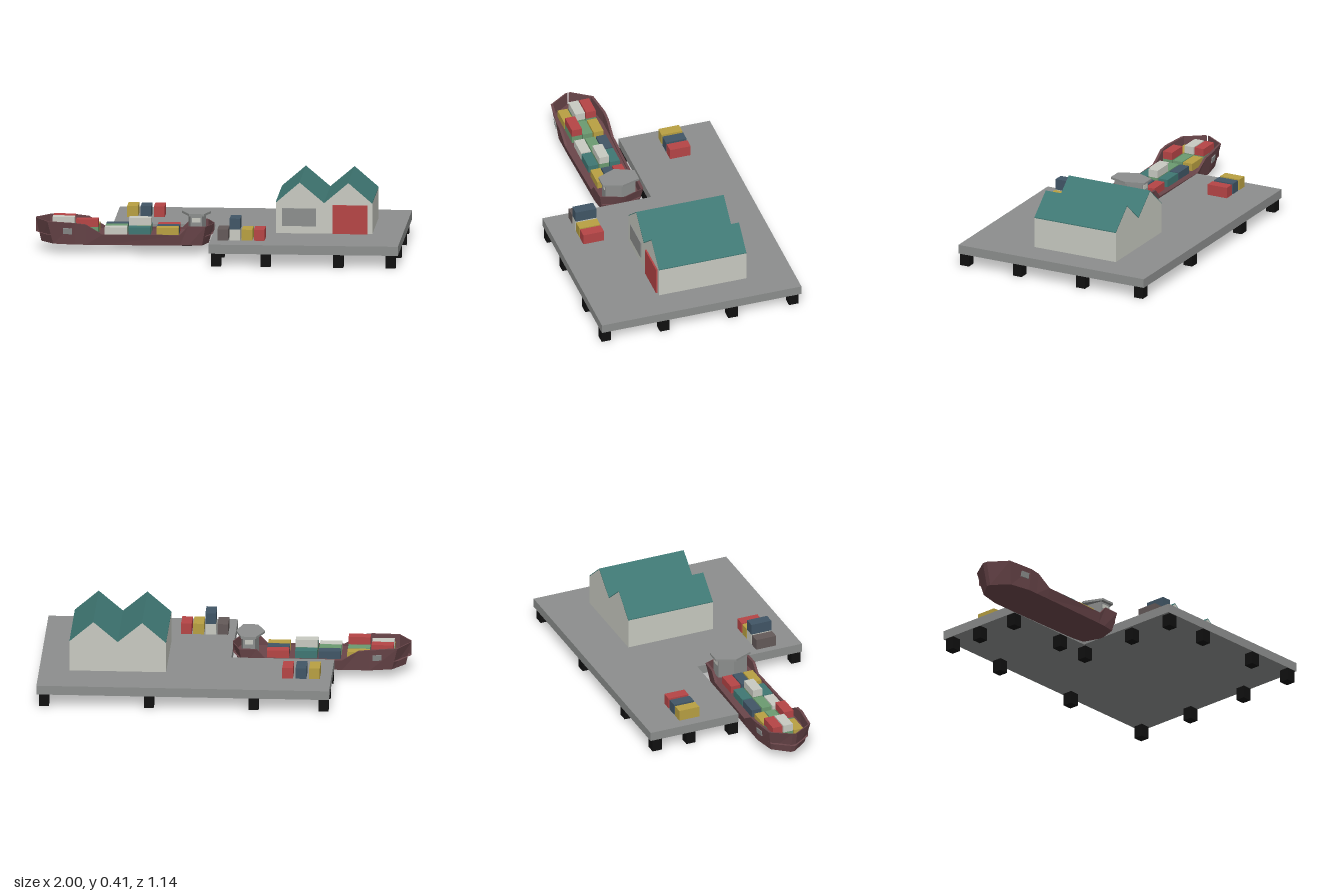
import * as THREE from 'three';

const PALETTE = {
  concrete: 0x8c8e8d, cream: 0xc8cac1, teal: 0x3f7773, red: 0xb54546, yellow: 0xb8a042,
  blue: 0x415666, green: 0x6b9a70, brown: 0x645a59, maroon: 0x6a464a, black: 0x101010,
};

export function createModel() {
  const root = new THREE.Group();
  const mats = {};
  for (const [name, color] of Object.entries(PALETTE)) {
    mats[name] = new THREE.MeshStandardMaterial({ color });
    mats[name].name = name;
  }

  const add = (parent, name, geometry, mat) => {
    const mesh = new THREE.Mesh(geometry, mats[mat]);
    mesh.name = name;
    parent.add(mesh);
    return mesh;
  };
  // Box given by its limits on each axis
  const box = (parent, name, mat, x0, x1, y0, y1, z0, z1) => {
    const m = add(parent, name, new THREE.BoxGeometry(x1 - x0, y1 - y0, z1 - z0), mat);
    m.position.set((x0 + x1) / 2, (y0 + y1) / 2, (z0 + z1) / 2);
    return m;
  };
  const group = (name) => {
    const g = new THREE.Group();
    g.name = name;
    root.add(g);
    return g;
  };
  const extrude = (points, depth) => new THREE.ExtrudeGeometry(
    new THREE.Shape(points.map(([x, y]) => new THREE.Vector2(x, y))), { depth, bevelEnabled: false });

  // L-shaped quay, drawn in x and -z then laid flat
  const quay = group('quay');
  const slab = extrude([[-0.59, 0.05], [-0.03, 0.05], [-0.03, -0.57], [1, -0.57], [1, 0.57], [-0.59, 0.57]], 0.05);
  slab.rotateX(-Math.PI / 2);
  add(quay, 'quaySlab', slab, 'concrete').position.y = 0.07;

  // Piles around the rim
  const piles = [
    [0.01, 0.54], [0.28, 0.54], [0.675, 0.54], [0.96, 0.54],
    [0.97, 0.21], [0.97, -0.18], [0.96, -0.53], [0.39, -0.53], [-0.18, -0.53], [-0.56, -0.53],
    [-0.56, -0.33], [-0.56, -0.08], [-0.19, -0.08], [0.01, -0.08], [0.01, 0.265],
  ];
  for (const [x, z] of piles) box(quay, 'pile', 'black', x - 0.027, x + 0.027, 0, 0.07, z - 0.027, z + 0.027);

  // Twin-gabled warehouse
  const warehouse = group('warehouse');
  const ridge = [[0.31, 0.288], [0.44, 0.4], [0.573, 0.288], [0.705, 0.4], [0.835, 0.288]];
  add(warehouse, 'walls', extrude([[0.835, 0.12], ...[...ridge].reverse(), [0.31, 0.12]], 0.5), 'cream')
    .position.z = -0.31;
  const roofLine = [...ridge, ...ridge.map(([x, y]) => [x, y + 0.005]).reverse()];
  add(warehouse, 'roof', extrude(roofLine, 0.5), 'teal').position.z = -0.31;
  box(warehouse, 'window', 'concrete', 0.345, 0.53, 0.16, 0.258, 0.19, 0.194);
  box(warehouse, 'door', 'red', 0.62, 0.81, 0.12, 0.278, 0.19, 0.199);

  // Containers stored on the quay
  const stores = group('quayContainers');
  const store = (mat, x, z, y = 0.12) =>
    box(stores, 'container', mat, x - 0.029, x + 0.029, y, y + 0.06, z - 0.059, z + 0.059);
  ['brown', 'cream', 'yellow', 'red'].forEach((c, i) => store(c, 0.038 + i * 0.066, 0.375));
  store('blue', 0.104, 0.375, 0.18);
  ['yellow', 'blue', 'red'].forEach((c, i) => store(c, -0.5 + i * 0.073, -0.315));

  // Ship hull lofted from sections: xBottom, xTop, half width at bottom and top, rail height
  const ship = group('ship');
  ship.position.z = 0.105;
  const deckY = 0.1;
  const sections = [
    [-0.97, -1.0, 0.012, 0.014, 0.178],
    [-0.9, -0.93, 0.1, 0.122, 0.175],
    [-0.78, -0.78, 0.125, 0.142, 0.17],
    [-0.72, -0.72, 0.125, 0.141, 0.163],
    [-0.63, -0.63, 0.125, 0.139, 0.109],
    [-0.21, -0.21, 0.118, 0.129, 0.109],
    [-0.165, -0.165, 0.116, 0.128, 0.157],
    [-0.09, -0.07, 0.105, 0.124, 0.157],
    [-0.06, -0.03, 0.012, 0.014, 0.157],
  ];
  const rings = sections.map(([xb, xt, wb, wt, top]) => {
    const wi = Math.max(wt - 0.014, 0.003);
    const half = [[xb, 0.05, wb], [xt, top, wt], [xt, top, wi], [xt, deckY, wi]];
    return [...half, ...half.map(([x, y, z]) => [x, y, -z]).reverse()];
  });
  const verts = [];
  const quad = (a, b, c, d) => [a, b, c, a, c, d].forEach((p) => verts.push(...p));
  for (let i = 0; i < rings.length - 1; i++) {
    const r = rings[i], s = rings[i + 1];
    for (let j = 0; j < 8; j++) {
      const k = (j + 1) % 8;
      quad(r[j], s[j], s[k], r[k]);
    }
  }
  const bow = rings[0], stern = rings[rings.length - 1];
  quad(bow[0], bow[1], bow[6], bow[7]);
  quad(stern[7], stern[6], stern[1], stern[0]);
  const hull = new THREE.BufferGeometry();
  hull.setAttribute('position', new THREE.Float32BufferAttribute(verts, 3));
  hull.computeVertexNormals();
  add(ship, 'hull', hull, 'maroon');

  // Bridge with an overhanging six-sided roof
  const hexagon = (x0, x1, x2, x3, w, h) => {
    const g = extrude([[x0, 0], [x1, -w], [x2, -w], [x3, 0], [x2, w], [x1, w]], h);
    g.rotateX(-Math.PI / 2);
    return g;
  };
  add(ship, 'bridge', hexagon(-0.17, -0.155, -0.09, -0.075, 0.085, 0.11), 'concrete').position.y = deckY;
  add(ship, 'bridgeRoof', hexagon(-0.205, -0.16, -0.08, -0.048, 0.103, 0.012), 'concrete').position.y = 0.21;

  for (const s of [1, -1]) {
    // Bridge side windows and bow side plates
    const pane = add(ship, 'bridgeWindow', new THREE.BoxGeometry(0.045, 0.025, 0.004), 'cream');
    pane.position.set(-0.122, 0.185, s * 0.086);
    const plate = add(ship, 'bowPlate', new THREE.BoxGeometry(0.05, 0.032, 0.008), 'concrete');
    plate.position.set(-0.82, 0.125, s * 0.131);
    plate.rotation.set(s * 0.15, s * -0.15, 0);
  }

  // Cargo: one row per line from far side to near side; a number marks the stack height
  const cargo = [
    [['red', 2], ['yellow', 1], ['blue', 1], ['teal', 1], ['red', 1]],
    [['cream', 2], ['green', 1], ['green', 1], ['cream', 2], ['blue', 1]],
    [['yellow', 1], ['red', 2], ['cream', 1], ['teal', 1], ['yellow', 1]],
  ];
  const columns = [-0.848, -0.716, -0.56, -0.432, -0.279];
  cargo.forEach((row, r) => row.forEach(([mat, levels], c) => {
    const x = columns[c], z = (r - 1) * 0.062;
    for (let l = 0; l < levels; l++) {
      const y = deckY + l * 0.042;
      box(ship, 'cargoContainer', l === levels - 1 ? mat : 'green', x - 0.06, x + 0.06, y, y + 0.042, z - 0.028, z + 0.028);
    }
  }));

  return root;
}
